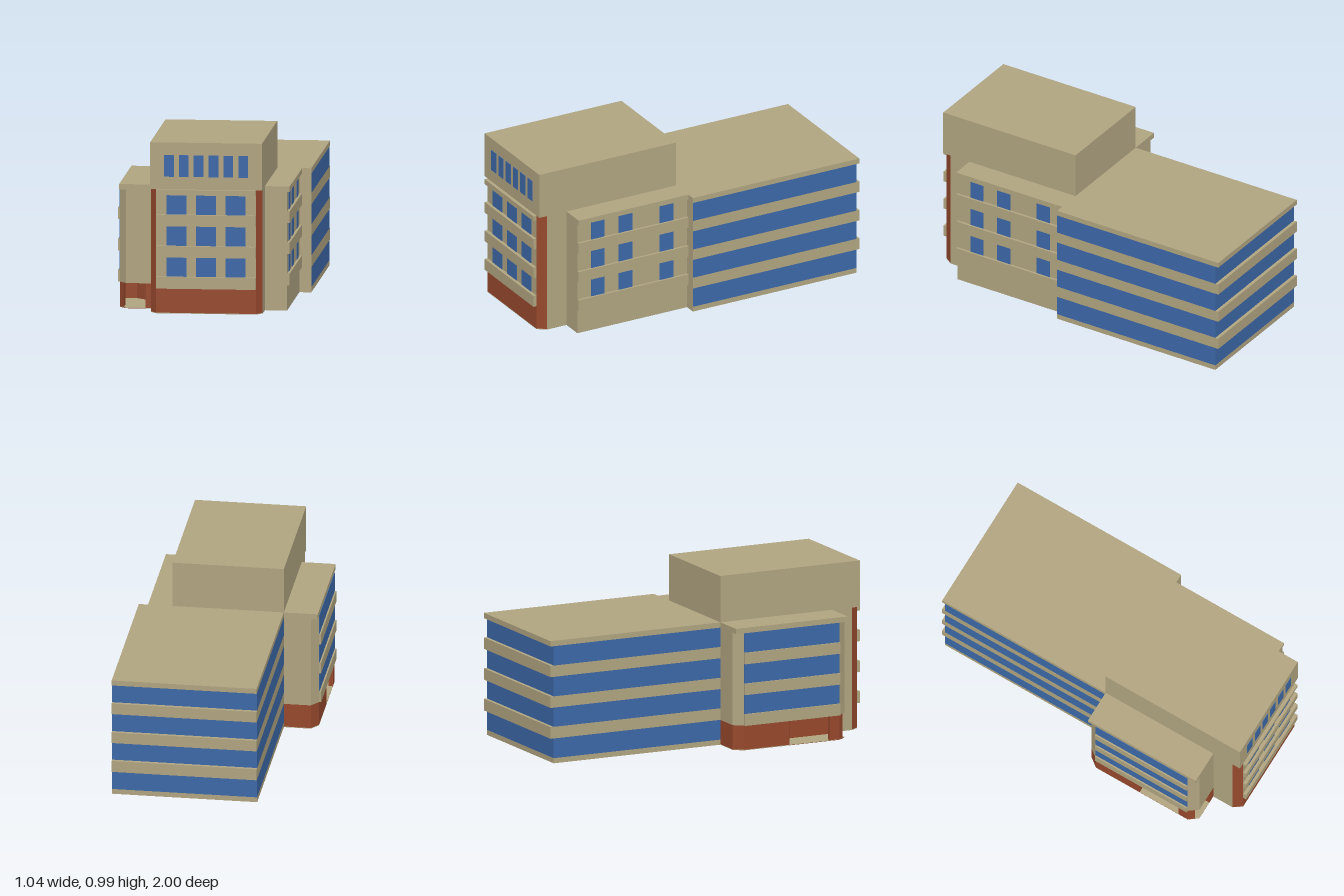
import * as THREE from 'three';

const mat = (name, color) => Object.assign(new THREE.MeshStandardMaterial({ color }), { name });

export function createModel() {
  const model = new THREE.Group();
  model.name = 'officeBuilding';
  const stone = mat('sandstone', 0xb0a480);
  const brick = mat('red brick', 0x96482c);
  const glass = mat('blue glass', 0x3c68a8);

  const add = (name, geometry, material) => {
    const mesh = new THREE.Mesh(geometry, material);
    mesh.name = name;
    model.add(mesh);
    return mesh;
  };
  // Box given by its limits
  const box = (name, material, x0, x1, y0, y1, z0, z1) => {
    const g = new THREE.BoxGeometry(x1 - x0, y1 - y0, z1 - z0);
    g.translate((x0 + x1) / 2, (y0 + y1) / 2, (z0 + z1) / 2);
    return add(name, g, material);
  };
  // Upright prism over a floor plan of [x, z] corners
  const prism = (name, material, plan, y0, y1) => {
    const shape = new THREE.Shape(plan.map(([x, z]) => new THREE.Vector2(x, -z)));
    const g = new THREE.ExtrudeGeometry(shape, { depth: y1 - y0, bevelEnabled: false });
    g.rotateX(-Math.PI / 2).translate(0, y0, 0);
    return add(name, g, material);
  };

  const bands = [[0.145, 0.213], [0.325, 0.391], [0.505, 0.571], [0.684, 0.715]];
  const storeys = [[0.213, 0.325], [0.391, 0.505], [0.571, 0.684]];
  const roof = 0.715, baseTop = 0.145, slab = 0.004, pane = 0.003;
  const back = 0.087; // where the rear block meets the front section

  // Rear block: glass storeys between stone bands that overhang at the back
  const ribbon = [glass, glass, stone, stone, stone, glass];
  box('rearPlinth', stone, -0.315, 0.52, 0, 0.03, -0.98, back);
  [[0.03, 0.145], ...storeys].forEach(([a, b]) =>
    box('rearGlassStorey', ribbon, -0.315, 0.52, a, b, -0.98, back));
  bands.forEach(([a, b]) => box('rearBand', stone, -0.315, 0.52, a, b, -1, back));

  // Left wing: plain wall with projecting bands and punched windows
  box('leftWing', stone, 0.3, 0.452, 0, roof, back, 0.803);
  bands.forEach(([a, b]) => box('leftWingBand', stone, 0.452, 0.467, a, b, back, 0.803));
  for (const [a, b] of storeys)
    for (const [z0, z1] of [[0.178, 0.268], [0.446, 0.536], [0.627, 0.713]])
      box('leftWingWindow', glass, 0.452, 0.452 + pane, a, b, z0, z1);

  // Tower: lower shaft with cut corners, taller square head
  box('towerShaft', stone, -0.315, 0.325, 0, roof, back, 0.93);
  box('towerFront', stone, -0.28, 0.29, baseTop, roof, 0.93, 0.98);
  box('towerHead', stone, -0.315, 0.325, roof, 0.985, back, 0.98);
  box('towerBase', brick, -0.28, 0.29, slab, baseTop, 0.93, 0.98);
  prism('leftBrickPier', brick, [[0.29, 0.93], [0.325, 0.93], [0.29, 0.98]], slab, roof);
  prism('rightBrickPier', brick, [[-0.28, 0.93], [-0.315, 0.93], [-0.28, 0.98]], slab, roof);
  prism('towerFootSlab', stone,
    [[-0.315, 0.93], [0.325, 0.93], [0.29, 0.98], [-0.28, 0.98]], 0, slab);
  bands.forEach(([a, b]) => box('towerBand', stone, -0.28, 0.29, a, b, 0.98, 1));
  for (const [a, b] of storeys)
    for (let i = 0; i < 3; i++) {
      const x = -0.22 + i * 0.169;
      box('towerWindow', glass, x, x + 0.113, a, b, 0.98, 0.98 + pane);
    }
  for (let i = 0; i < 6; i++) {
    const x = -0.235 + i * 0.085;
    box('towerHeadWindow', glass, x, x + 0.056, 0.788, 0.913, 0.98, 0.98 + pane);
  }

  // Right wing: cut corners under a square roof slab, glazed outer side
  const wingPlan = [[-0.31, back], [-0.47, back], [-0.51, 0.14], [-0.51, 0.75], [-0.47, 0.803], [-0.31, 0.803]];
  prism('rightWing', stone, wingPlan, baseTop, 0.684);
  box('rightWingRoof', stone, -0.51, -0.31, 0.684, roof, back, 0.803);
  storeys.forEach(([a, b]) =>
    box('rightWingGlass', glass, -0.51 - pane, -0.51, a, b, 0.14, 0.75));
  bands.slice(0, 3).forEach(([a, b]) =>
    box('rightWingBand', stone, -0.522, -0.51, a, b, 0.14, 0.75));

  // Brick ground floor of the right wing, hollowed at the front as a porch
  const groundPlan = [[-0.31, back], [-0.47, back], [-0.51, 0.14], [-0.51, 0.43], [-0.445, 0.43],
    [-0.36, 0.51], [-0.36, 0.803], [-0.31, 0.803]];
  prism('rightWingBase', brick, groundPlan, slab, baseTop);
  prism('rightWingFootSlab', stone, groundPlan, 0, slab);
  prism('porchPillar', brick,
    [[-0.51, 0.69], [-0.51, 0.75], [-0.485, 0.783], [-0.485, 0.69]], slab, baseTop);
  const porchPlan = [[-0.51, 0.43], [-0.51, 0.75], [-0.47, 0.803], [-0.36, 0.803], [-0.36, 0.51], [-0.445, 0.43]];
  prism('porchUnderside', brick, porchPlan, 0, slab / 2);
  prism('porchFloor', stone, porchPlan, slab / 2, slab);

  return model;
}
